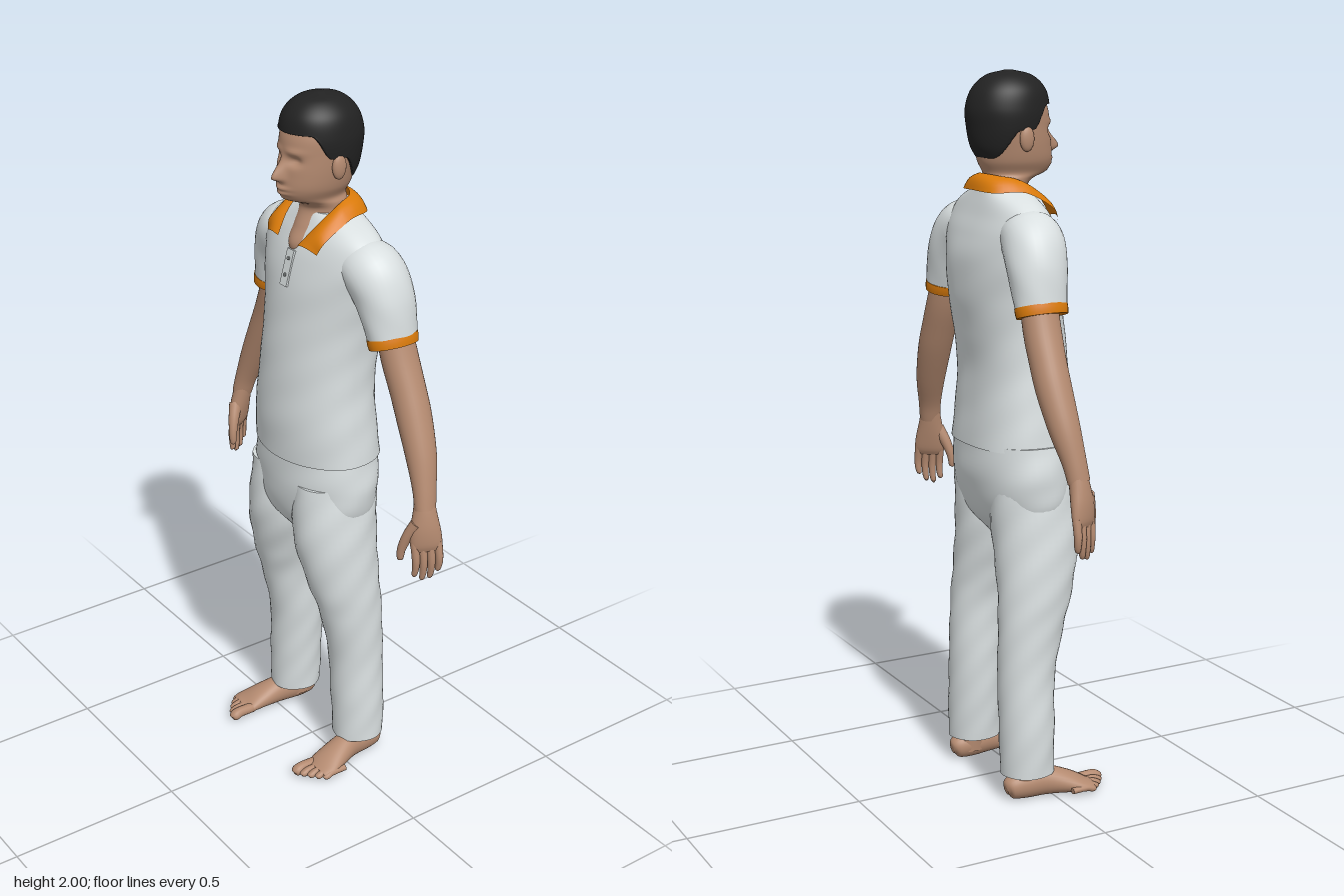
import * as THREE from 'three';

const mat = (name, color, side = THREE.FrontSide) => {
  const m = new THREE.MeshStandardMaterial({ color, side });
  m.name = name;
  return m;
};
const V = (x, y, z) => new THREE.Vector3(x, y, z);
const UP = V(0, 1, 0), FRONT = V(0, 0, 1);
const { smoothstep, lerp } = THREE.MathUtils;
const bump = (v, c, w) => Math.exp(-(((v - c) / w) ** 2));

// Smooth tube through rows of [x, y, z, radiusU, radiusV], closed at both ends.
// flat: horizontal rings; ref: direction of radiusV; folds: cloth wrinkles;
// back: squareness of the rear half; shape: final rule applied to each point
function loft(rows, { n = 32, m = 24, flat = false, ref = FRONT, folds = 0, back = 1, shape } = {}) {
  const path = new THREE.CatmullRomCurve3(rows.map(r => V(r[0], r[1], r[2])), false, 'catmullrom', 0.5);
  const radii = new THREE.CatmullRomCurve3(rows.map(r => V(r[3], r[4], 0)), false, 'catmullrom', 0.5);
  const pos = [], idx = [];
  for (let i = 0; i <= m; i++) {
    const c = path.getPoint(i / m), r = radii.getPoint(i / m);
    const T = flat ? UP : path.getTangent(i / m);
    const U = T.clone().cross(ref).normalize(), W = U.clone().cross(T);
    for (let j = 0; j < n; j++) {
      const a = j / n * Math.PI * 2;
      let cu = Math.cos(a), cv = Math.sin(a);
      if (cv < 0) {
        cu = Math.sign(cu) * Math.abs(cu) ** back;
        cv = -(Math.abs(cv) ** back);
      }
      const k = 1 + folds * Math.sin(a * 3 + c.y * 34) * Math.sin(c.y * 19 + a * 2);
      const p = c.clone().addScaledVector(U, cu * r.x * k).addScaledVector(W, cv * r.y * k);
      if (shape) shape(p);
      pos.push(p.x, p.y, p.z);
      if (i < m) {
        const j2 = (j + 1) % n, A = i * n + j, B = A + n, C = (i + 1) * n + j2, D = i * n + j2;
        idx.push(A, B, C, A, C, D);
      }
    }
  }
  // end caps with their own vertices, so the rims stay crisp
  for (const end of [0, m]) {
    const base = pos.length / 3, mid = base + n, sum = [0, 0, 0];
    for (let j = 0; j < n; j++) for (let k = 0; k < 3; k++) {
      const v = pos[(end * n + j) * 3 + k];
      pos.push(v);
      sum[k] += v / n;
    }
    pos.push(...sum);
    for (let j = 0; j < n; j++) {
      const a = base + j, b = base + (j + 1) % n;
      if (end) idx.push(mid, b, a); else idx.push(mid, a, b);
    }
  }
  return build(pos, idx);
}

function build(pos, idx) {
  const g = new THREE.BufferGeometry();
  g.setAttribute('position', new THREE.Float32BufferAttribute(pos, 3));
  g.setIndex(idx);
  g.computeVertexNormals();
  return g;
}

// Turned-down collar sheet between an inner and an outer edge
function collarGeometry() {
  const inner = [[0, 1.728, -.105], [.055, 1.724, -.085], [.076, 1.712, -.035], [.068, 1.668, .025], [.045, 1.612, .075]];
  const outer = [[0, 1.685, -.138], [.09, 1.682, -.118], [.122, 1.682, -.04], [.125, 1.638, .042], [.113, 1.603, .062]];
  const curve = half => new THREE.CatmullRomCurve3(
    [...half.slice(1).reverse().map(p => V(-p[0], p[1], p[2])), ...half.map(p => V(...p))], false, 'catmullrom', 0.5);
  const a = curve(inner), b = curve(outer), pos = [], idx = [], m = 48, n = 6;
  for (let i = 0; i <= m; i++) for (let j = 0; j <= n; j++) {
    const p = a.getPoint(i / m).lerp(b.getPoint(i / m), j / n);
    p.y += .008 * Math.sin(Math.PI * j / n);
    p.z += .006 * Math.sin(Math.PI * j / n) * Math.sign(p.z + .04);
    pos.push(p.x, p.y, p.z);
    if (i < m && j < n) {
      const A = i * (n + 1) + j, B = A + n + 1;
      idx.push(A, A + 1, B + 1, A, B + 1, B);
    }
  }
  return build(pos, idx);
}

// Brow, eye sockets, nose, lips and chin pressed into the front of the head
function face(p) {
  if (p.z < .01) return;
  const x = p.x + .005, ax = Math.abs(x), y = p.y;
  p.z += .032 * bump(x, 0, .014) * bump(y, 1.793, y > 1.793 ? .032 : .011)
    - .014 * bump(ax, .034, .018) * bump(y, 1.838, .012)
    + .005 * bump(ax, .034, .025) * bump(y, 1.862, .009)
    + .009 * bump(x, 0, .024) * (bump(y, 1.763, .006) + bump(y, 1.749, .006))
    + .005 * bump(x, 0, .02) * bump(y, 1.732, .008);
}

export function createModel() {
  const skin = mat('skin', 0xb48a70), hair = mat('black hair', 0x222222);
  const cloth = mat('white cloth', 0xd9dfe0), orange = mat('orange trim', 0xd97a0a, THREE.DoubleSide);
  const grey = mat('grey button', 0x8f9494);
  const model = new THREE.Group();
  const add = (name, geo, material, parent = model) => {
    const mesh = new THREE.Mesh(geo, material);
    mesh.name = name;
    parent.add(mesh);
    return mesh;
  };

  // Head and neck
  add('head', loft([
    [-.003, 1.55, -.02, .03, .07], [-.003, 1.6, -.012, .052, .079], [-.003, 1.645, -.027, .062, .072],
    [-.005, 1.69, -.04, .066, .062], [-.005, 1.712, -.032, .066, .07], [-.005, 1.73, -.01, .064, .092],
    [-.005, 1.76, -.01, .078, .106], [-.005, 1.8, -.015, .086, .109], [-.005, 1.85, -.024, .091, .112],
    [-.005, 1.9, -.029, .092, .11], [-.005, 1.95, -.03, .076, .086], [-.005, 1.985, -.03, .03, .035],
  ], { n: 96, m: 110, flat: true, shape: face }), skin);

  // Short hair cap, its lower edge following the hairline
  add('hair', loft([
    [-.005, 1.765, -.047, .07, .068], [-.005, 1.8, -.035, .088, .1], [-.005, 1.85, -.032, .099, .113],
    [-.005, 1.9, -.031, .101, .117], [-.005, 1.95, -.028, .089, .102], [-.005, 1.985, -.027, .055, .065],
    [-.005, 1.999, -.027, .01, .012],
  ], {
    n: 72, m: 60, flat: true,
    shape: p => {
      p.y = Math.max(p.y, 1.77 + .075 * smoothstep(p.z, -.1, -.04) + .065 * smoothstep(p.z, 0, .05));
    },
  }), hair);

  // Polo shirt
  add('shirtBody', loft([
    [-.012, .992, -.02, .204, .146], [-.01, 1.1, -.013, .194, .143], [-.008, 1.2, -.013, .183, .138],
    [-.004, 1.3, -.021, .18, .139], [0, 1.4, -.033, .188, .139], [0, 1.5, -.04, .208, .131],
    [0, 1.57, -.042, .222, .113], [0, 1.62, -.043, .212, .093], [0, 1.655, -.046, .168, .078],
    [0, 1.688, -.048, .085, .064],
  ], { n: 64, m: 60, flat: true, folds: .008, back: .82 }), cloth);
  add('collar', collarGeometry(), orange).position.x = -.006;
  const placket = add('placket', new THREE.BoxGeometry(.03, .1, .008), cloth);
  placket.position.set(.003, 1.54, .081);
  placket.rotation.x = -.27;
  for (const y of [-.02, .025]) {
    const button = add('button', new THREE.CylinderGeometry(.005, .005, .004, 12), grey, placket);
    button.position.set(0, y, .005);
    button.rotation.x = Math.PI / 2;
  }

  // Trouser seat
  add('trouserSeat', loft([
    [-.022, .735, -.02, .06, .07], [-.022, .8, -.02, .19, .118], [-.021, .9, -.024, .216, .139],
    [-.018, 1.005, -.024, .204, .138],
  ], { n: 56, flat: true, folds: .012, back: .88 }), cloth);

  for (const s of [1, -1]) {
    const side = s > 0 ? 'left' : 'right';
    const arm = new THREE.Group(), leg = new THREE.Group();
    arm.name = side + 'Arm';
    leg.name = side + 'Leg';
    leg.position.x = -.022;
    model.add(arm, leg);
    const flip = rows => rows.map(([x, ...rest]) => [x * s, ...rest]);

    add(side + 'Ear', new THREE.SphereGeometry(1, 20, 14), skin).scale.set(.012, .034, .021);
    model.children.at(-1).position.set(-.005 + s * .094, 1.822, -.022);

    // Sleeve with orange band
    add('sleeve', loft(flip([
      [.13, 1.575, -.05, .06, .075], [.19, 1.562, -.056, .078, .085], [.233, 1.5, -.066, .072, .083],
      [.268, 1.388, -.07, .053, .071],
    ]), { folds: .012 }), cloth, arm);
    add('sleeveBand', loft(flip([
      [.263, 1.402, -.07, .056, .074], [.267, 1.389, -.07, .056, .074], [.271, 1.376, -.07, .054, .072],
    ]), { m: 4 }), orange, arm);

    // Bare arm and palm
    add('foreArm', loft(flip([
      [.25, 1.45, -.075, .043, .05], [.285, 1.345, -.079, .046, .052], [.32, 1.265, -.081, .046, .05],
      [.352, 1.195, -.08, .045, .049], [.395, 1.1, -.073, .039, .043], [.426, 1.02, -.062, .029, .034],
      [.441, .965, -.055, .025, .031],
    ])), skin, arm);
    const ref = V(-.45 * s, 0, .9).normalize();
    add('palm', loft(flip([
      [.436, .985, -.056, .024, .028], [.443, .95, -.053, .025, .034], [.45, .91, -.05, .024, .042],
      [.456, .87, -.05, .019, .044], [.459, .85, -.05, .011, .038],
    ]), { n: 24, m: 14, ref }), skin, arm);

    // Fingers and thumb
    for (let i = 0; i < 4; i++) {
      const k = (i - 1.5) * .021, x = .456 - k * .45, z = -.05 + k * .9;
      const len = [.075, .095, .1, .088][i];
      add('finger', loft(flip([
        [x, .875, z, .012, .012], [x + .008, .865 - len * .45, z, .011, .011],
        [x + .007, .865 - len * .8, z, .0095, .0095], [x + .004, .865 - len, z + .002, .007, .007],
        [x + .003, .862 - len, z + .002, .002, .002],
      ]), { n: 12, m: 12 }), skin, arm);
    }
    add('thumb', loft(flip([
      [.44, .93, -.03, .018, .02], [.424, .89, -.012, .015, .016], [.413, .85, -.001, .012, .012],
      [.41, .82, .001, .009, .009], [.41, .815, .001, .003, .003],
    ]), { n: 14, m: 14 }), skin, arm);

    // Trouser leg
    add('trouserLeg', loft(flip([
      [.162, .075, -.065, .072, .076], [.158, .2, -.066, .077, .078], [.15, .35, -.064, .077, .081],
      [.147, .5, -.044, .08, .095], [.136, .6, -.028, .091, .108], [.112, .75, -.016, .106, .124],
      [.1, .92, -.02, .098, .125],
    ]), { n: 40, m: 56, flat: true, folds: .028 }), cloth, leg);

    // Foot, ankle and toes
    add('ankle', loft(flip([
      [.168, .025, -.078, .034, .048], [.167, .07, -.075, .036, .046], [.165, .14, -.072, .038, .045],
    ]), { flat: true, m: 8 }), skin, leg);
    add('foot', loft(flip([
      [.168, .032, -.136, .012, .014], [.168, .036, -.122, .029, .032], [.17, .041, -.08, .036, .041],
      [.177, .043, -.02, .037, .042], [.189, .033, .04, .045, .032], [.2, .021, .088, .05, .02],
      [.202, .017, .112, .04, .013],
    ]), { ref: UP }), skin, leg);
    for (let i = 0; i < 5; i++) {
      const t = i / 4, x = lerp(.167, .24, t ** .85), r = i ? lerp(.0125, .011, t) : .018;
      const z = lerp(.168, .112, t ** 1.2);
      add('toe', loft(flip([
        [x, .02, z - .075, r * .9, r * .8], [x, .021, z - .03, r * .9, r * .85], [x, .016, z - .012, r, r * .85],
        [x, .014, z - .002, r * .7, r * .6], [x, .013, z, r * .2, r * .2],
      ]), { n: 14, m: 12, ref: UP }), skin, leg);
    }
  }
  return model;
}
